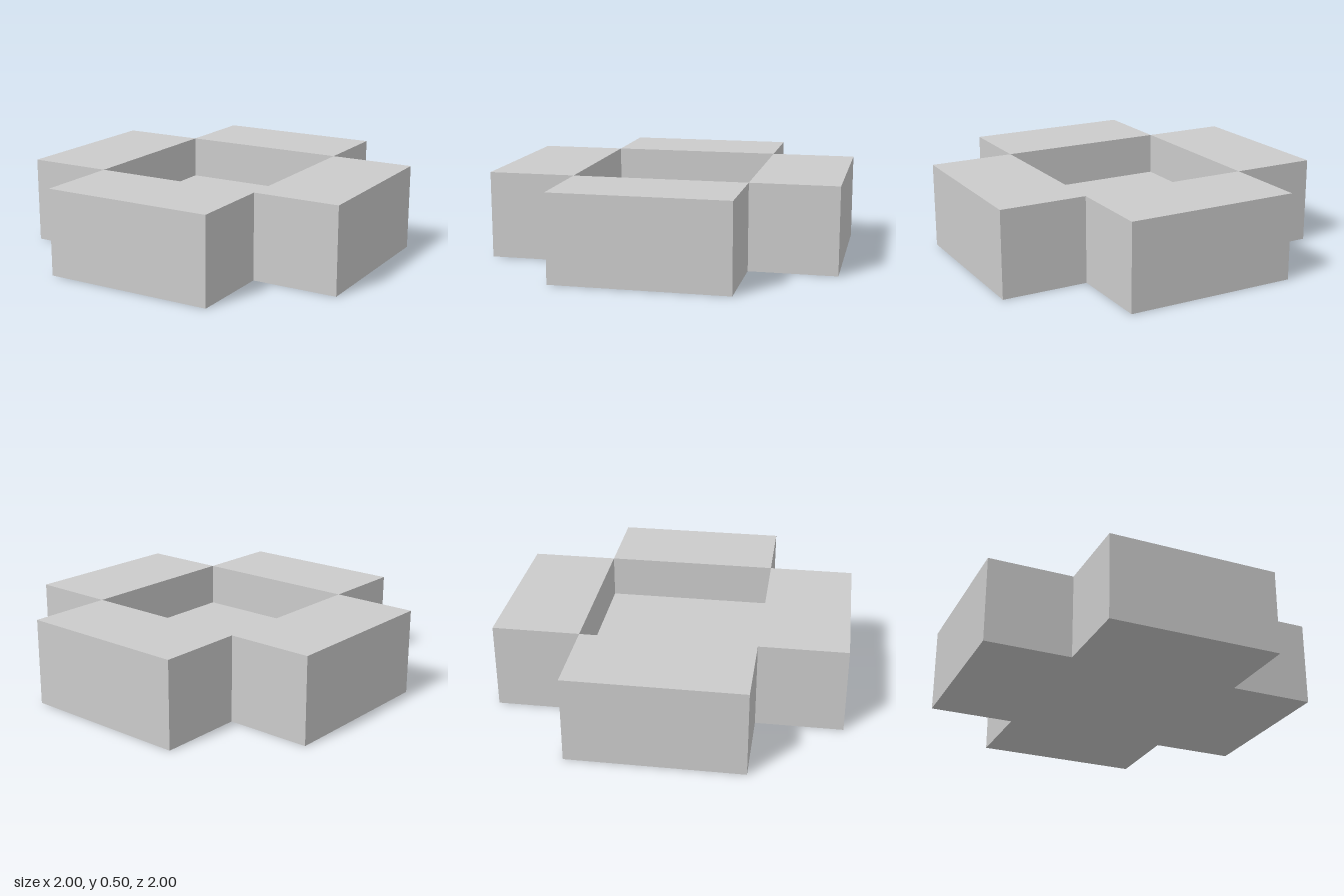
import * as THREE from 'three';
import { mergeGeometries } from 'three/addons/utils/BufferGeometryUtils.js';

const HALF = 0.5;    // half width of the centre square
const REACH = 1;     // outer end of each arm
const HEIGHT = 0.5;  // top of the arms
const FLOOR = 0.25;  // level of the recessed floor
const UP = -Math.PI / 2, DOWN = Math.PI / 2;

// One rectangular face, turned about x and y, then placed
function face(w, h, rx, ry, x, y, z) {
  return new THREE.PlaneGeometry(w, h).rotateX(rx).rotateY(ry).translate(x, y, z);
}

export function createModel() {
  const model = new THREE.Group();
  model.name = 'crossTray';
  const material = new THREE.MeshStandardMaterial({ color: 0xcccccc, flatShading: true });

  const add = (name, geometry) => {
    const mesh = new THREE.Mesh(geometry, material);
    mesh.name = name;
    model.add(mesh);
    return mesh;
  };

  // Arm pointing to +z: an outer block whose inner wall stops at the floor
  const w = HALF * 2, len = REACH - HALF, mid = (REACH + HALF) / 2;
  const arm = mergeGeometries([
    face(w, len, UP, 0, 0, HEIGHT, mid),
    face(w, len, DOWN, 0, 0, 0, mid),
    face(w, HEIGHT, 0, 0, 0, HEIGHT / 2, REACH),
    face(len, HEIGHT, 0, Math.PI / 2, HALF, HEIGHT / 2, mid),
    face(len, HEIGHT, 0, -Math.PI / 2, -HALF, HEIGHT / 2, mid),
    face(w, HEIGHT - FLOOR, 0, Math.PI, 0, (HEIGHT + FLOOR) / 2, HALF),
  ]);
  ['frontArm', 'leftArm', 'backArm', 'rightArm'].forEach((name, i) => {
    add(name, arm).rotation.y = i * Math.PI / 2;
  });

  // Recessed centre: floor and underside
  add('centreFloor', mergeGeometries([
    face(w, w, UP, 0, 0, FLOOR, 0),
    face(w, w, DOWN, 0, 0, 0, 0),
  ]));

  return model;
}
